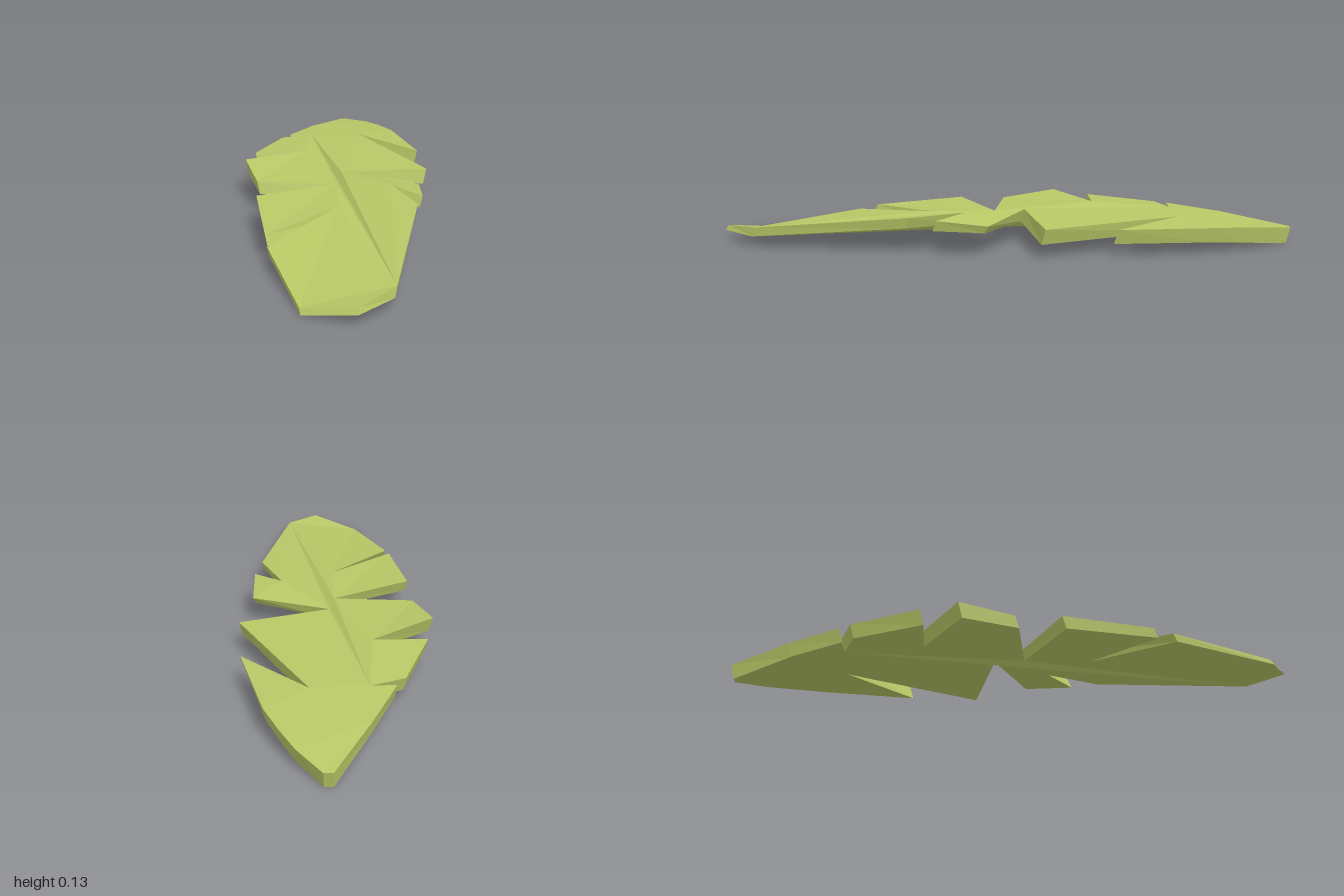
import * as THREE from 'three';

// Leaf outline, clockwise from the rear tip: x, z, top height, underside height
const OUTLINE = [
  [0.02, -1, 0.055, 0], [0.05, -1, 0.055, 0], [0.13, -0.9, 0.07, 0.015], [0.18, -0.81, 0.08, 0.027],
  [0.23, -0.7, 0.087, 0.036], [0.315, -0.38, 0.095, 0.046], [0.09, -0.6, 0.1, 0.048],
  [0.333, -0.14, 0.098, 0.045], [0.02, -0.065, 0.11, 0.066], [0.293, 0.05, 0.1, 0.075],
  [0.293, 0.225, 0.117, 0.081], [0.19, 0.135, 0.128, 0.088], [0.27, 0.32, 0.122, 0.085],
  [0.175, 0.865, 0.068, 0.035], [0.065, 0.985, 0.055, 0.037], [-0.105, 0.908, 0.018, 0.001],
  [-0.215, 0.56, 0.065, 0.038], [0.005, 0.275, 0.098, 0.06], [-0.225, 0.495, 0.08, 0.047],
  [-0.273, 0.18, 0.103, 0.06], [0, 0.042, 0.1, 0.062], [-0.28, 0.02, 0.1, 0.058],
  [-0.335, -0.17, 0.124, 0.07], [-0.12, -0.31, 0.115, 0.064], [-0.307, -0.3, 0.11, 0.057],
  [-0.215, -0.545, 0.1, 0.05], [-0.1, -0.59, 0.1, 0.05], [-0.185, -0.588, 0.1, 0.05],
  [-0.1, -0.775, 0.085, 0.034],
];

// Thick notched blade whose underside is set slightly inward and forward
function bladeGeometry() {
  const n = OUTLINE.length;
  const top = OUTLINE.map(([x, z, y]) => new THREE.Vector3(x, y, z));
  const bottom = OUTLINE.map(([x, z, , y]) => new THREE.Vector3(x * 0.965, y, z + 0.013));
  const points = [];
  const triangle = (a, b, c) => points.push(a, b, c);

  // Upper and lower faces
  const flat = OUTLINE.map(([x, z]) => new THREE.Vector2(x, -z));
  for (const [a, b, c] of THREE.ShapeUtils.triangulateShape(flat, [])) {
    const up = THREE.ShapeUtils.area([flat[a], flat[b], flat[c]]) > 0;
    const [p, q] = up ? [b, c] : [c, b];
    triangle(top[a], top[p], top[q]);
    triangle(bottom[a], bottom[q], bottom[p]);
  }

  // Rim
  for (let i = 0; i < n; i++) {
    const j = (i + 1) % n;
    triangle(top[i], top[j], bottom[i]);
    triangle(top[j], bottom[j], bottom[i]);
  }
  const geometry = new THREE.BufferGeometry().setFromPoints(points);
  geometry.computeVertexNormals();
  return geometry;
}

export function createModel() {
  const group = new THREE.Group();
  group.name = 'leaf';
  const leafGreen = new THREE.MeshStandardMaterial({ color: 0xb8c866 });
  leafGreen.name = 'leaf green';
  const blade = new THREE.Mesh(bladeGeometry(), leafGreen);
  blade.name = 'leafBlade';
  group.add(blade);
  return group;
}
